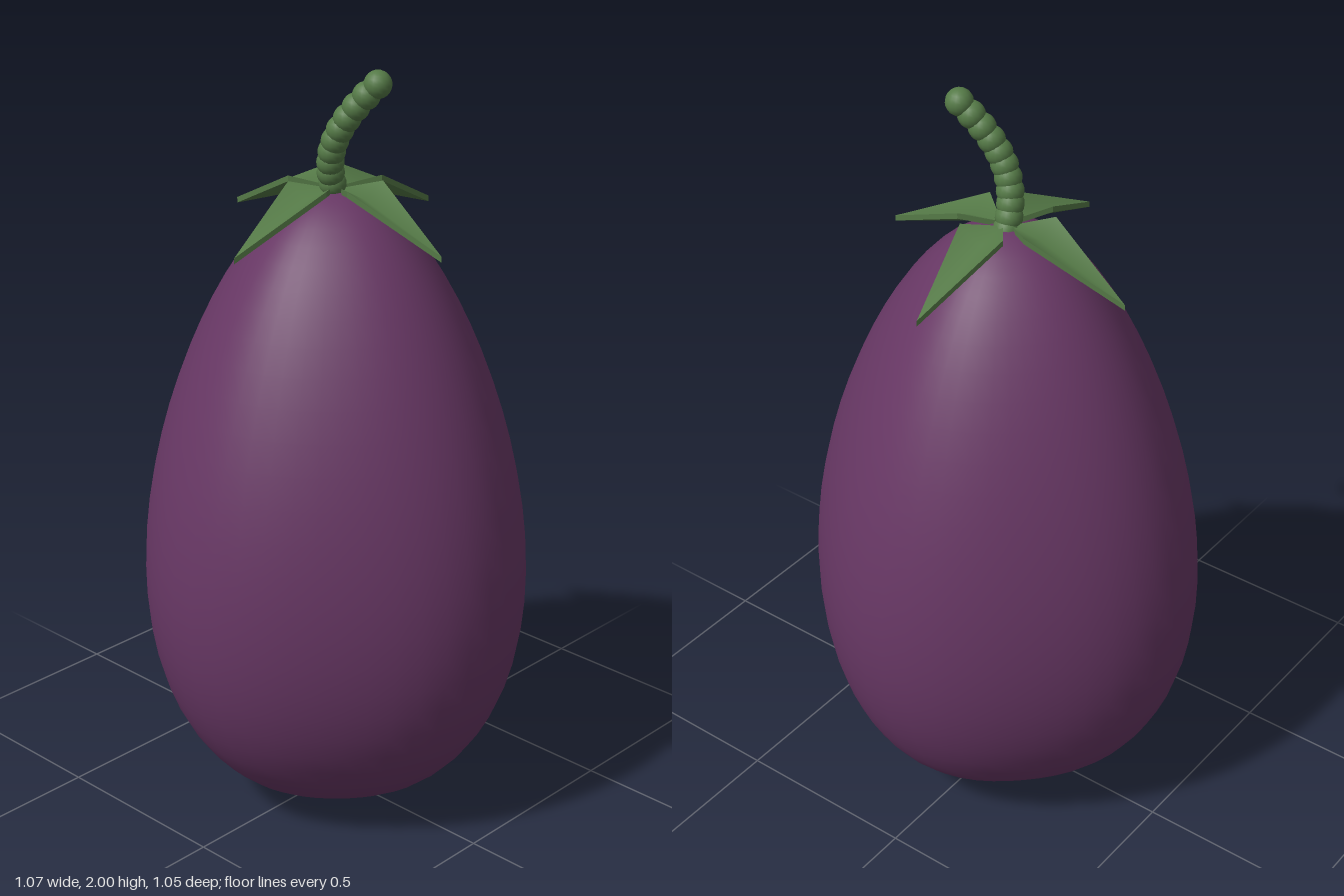
import * as THREE from 'three';
import { mergeVertices } from 'three/addons/utils/BufferGeometryUtils.js';

// Egg-shaped body, tapered upward and slightly squared around its axis
function bodyGeometry() {
  const half = 0.84;
  let geo = new THREE.SphereGeometry(1, 48, 32);
  const pos = geo.attributes.position;
  for (let i = 0; i < pos.count; i++) {
    const x = pos.getX(i), n = pos.getY(i), z = pos.getZ(i);
    const r = 0.5 * (1 - 0.25 * n) * (1 + 0.03 * Math.cos(4 * Math.atan2(z, x)));
    pos.setXYZ(i, x * r * 1.01, half + n * half, z * r * 0.99);
  }
  geo.deleteAttribute('uv');
  geo.deleteAttribute('normal');
  geo = mergeVertices(geo, 1e-5);
  geo.computeVertexNormals();
  return geo;
}

// Kite-shaped leaf pointing along +z, folded down along its middle
function sepalGeometry() {
  const thick = 0.015;
  const top = [
    [0, 1.682, 0.015],   // root
    [0, 1.67, 0.1],      // middle of the fold
    [0.065, 1.705, 0.1], // side corners
    [-0.065, 1.705, 0.1],
    [0, 1.582, 0.35],    // tip
  ];
  const low = top.map(([x, y, z]) => [x, y - thick, z]);
  const faces = [[0, 1, 2], [0, 3, 1], [1, 4, 2], [1, 3, 4]];
  const rim = [[2, 0], [4, 2], [0, 3], [3, 4]];
  const points = [...top, ...low];
  const index = [];
  for (const [a, b, c] of faces) index.push(a, b, c, c + 5, b + 5, a + 5);
  // Side walls have their own corners so the edges stay sharp
  for (const [a, b] of rim) {
    const s = points.length;
    points.push(top[a], top[b], low[a], low[b]);
    index.push(s + 1, s, s + 2, s + 1, s + 2, s + 3);
  }
  const geo = new THREE.BufferGeometry();
  geo.setAttribute('position', new THREE.Float32BufferAttribute(points.flat(), 3));
  geo.setIndex(index);
  geo.computeVertexNormals();
  return geo;
}

export function createModel() {
  const model = new THREE.Group();
  model.name = 'eggplant';
  const purple = new THREE.MeshStandardMaterial({ color: 0x673764 });
  purple.name = 'purple skin';
  const green = new THREE.MeshStandardMaterial({ color: 0x557a47 });
  green.name = 'green stem';

  const body = new THREE.Mesh(bodyGeometry(), purple);
  body.name = 'body';
  model.add(body);

  // Four leaves around the crown
  const crown = new THREE.Group();
  crown.name = 'crown';
  const leaf = sepalGeometry();
  for (let i = 0; i < 4; i++) {
    const sepal = new THREE.Mesh(leaf, green);
    sepal.name = 'sepal';
    sepal.rotation.y = (i * Math.PI) / 2;
    crown.add(sepal);
  }
  model.add(crown);

  // Curved stem made of overlapping beads
  const stem = new THREE.Group();
  stem.name = 'stem';
  const bead = new THREE.SphereGeometry(0.035, 16, 12);
  const count = 11;
  for (let i = 0; i < count; i++) {
    const t = i / (count - 1);
    const mesh = new THREE.Mesh(bead, green);
    mesh.name = 'stemBead';
    mesh.position.set(0.14 * t * t, 1.665 + 0.3 * t, 0.038 * Math.sin(Math.PI * t));
    stem.add(mesh);
  }
  model.add(stem);
  return model;
}
